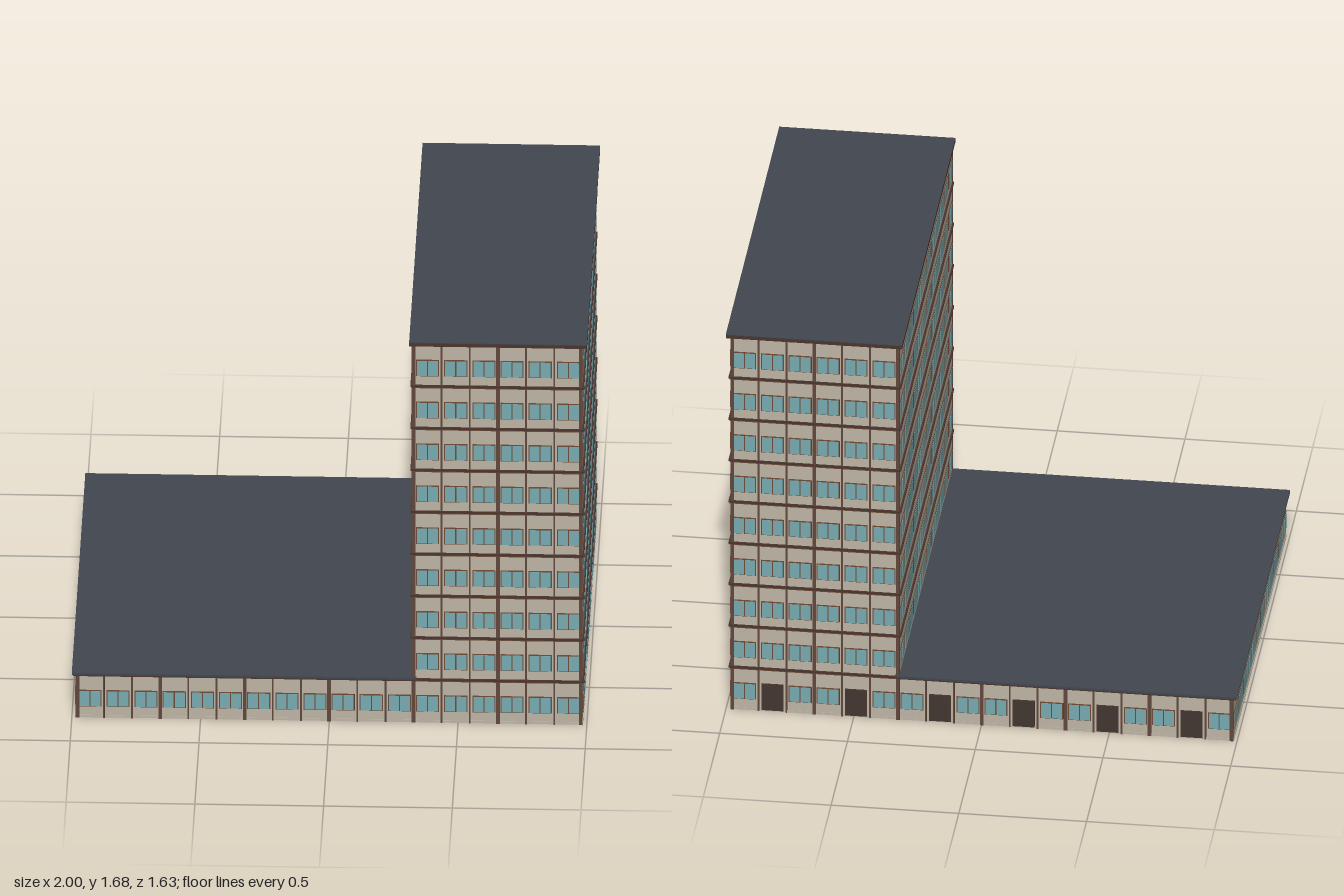
import * as THREE from 'three';
import { mergeGeometries } from 'three/addons/utils/BufferGeometryUtils.js';

const FLOOR = 0.185, FLOORS = 9, BASE = 0.005;
const X0 = -0.985, X1 = 0.983, XT = 0.322, Z = 0.803; // wall planes
const BAYS = 18, PITCH = (X1 - X0) / BAYS;
const LOW_BAYS = 12; // bays 0..11 belong to the low wing

const mat = (name, color) => {
  const m = new THREE.MeshStandardMaterial({ color });
  m.name = name;
  return m;
};

export function createModel() {
  const group = new THREE.Group();
  const wall = mat('beige wall', 0xbdb5a5);
  const glass = mat('blue glass', 0x76aab1);
  const frame = mat('brown frame', 0x6e4a35);
  const ledge = mat('dark brown ledge', 0x4a342d);
  const pillar = mat('brown pillar', 0x60463b);
  const roof = mat('slate roof', 0x414650);
  const door = mat('dark door', 0x423631);

  const add = (name, geometry, material) => {
    const mesh = new THREE.Mesh(geometry, material);
    mesh.name = name;
    group.add(mesh);
  };
  // box given by its limits
  const block = (x0, x1, y0, y1, z0, z1) =>
    new THREE.BoxGeometry(x1 - x0, y1 - y0, z1 - z0)
      .translate((x0 + x1) / 2, (y0 + y1) / 2, (z0 + z1) / 2);

  // collected small parts, merged into one mesh per kind
  const parts = { windowFrames: [], windowGlass: [], doors: [], doorFrames: [], pillars: [], ledges: [], ledgeTrims: [] };
  const faces = {
    front: { rot: 0, at: [0, 0, Z] },
    back: { rot: Math.PI, at: [0, 0, -Z] },
    right: { rot: Math.PI / 2, at: [X1, 0, 0] },
    left: { rot: -Math.PI / 2, at: [X0, 0, 0] },
    towerLeft: { rot: -Math.PI / 2, at: [XT, 0, 0] },
  };
  // plate on a facade: centre u, bottom y, width, height, thickness
  const plate = (kind, face, u, y, w, h, d) =>
    parts[kind].push(new THREE.BoxGeometry(w, h, d).translate(u, y + h / 2, d / 2)
      .rotateY(face.rot).translate(...face.at));

  const windowAt = (face, u, floor, w) => {
    const y = BASE + floor * FLOOR + 0.043, h = 0.072, rim = 0.004;
    plate('windowFrames', face, u, y, w, h, 0.003);
    const pane = (w - 3 * rim) / 2;
    for (const s of [-1, 1])
      plate('windowGlass', face, u + s * (pane + rim) / 2, y + rim / 2, pane, h - rim * 1.5, 0.004);
  };

  // wall bodies
  add('lowWingWalls', block(X0, XT, 0, 0.186, -Z, Z), wall);
  add('towerWalls', block(XT, X1, 0, 1.666, -Z, Z), wall);

  // long sides: twelve windows per floor
  for (let f = 0; f < FLOORS; f++) {
    for (let i = 0; i < 12; i++) {
      const u = (i - 5.5) * 0.1333;
      windowAt(faces.right, u, f, 0.116);
      windowAt(f ? faces.towerLeft : faces.left, u, f, 0.116);
    }
  }

  // front and back: bays with pillars, doors in the back ground floor
  for (const face of [faces.front, faces.back]) {
    const s = face === faces.front ? 1 : -1;
    for (let b = 0; b < BAYS; b++) {
      const u = s * (X0 + (b + 0.5) * PITCH);
      const top = b < LOW_BAYS ? 1 : FLOORS;
      for (let f = 0; f < top; f++) {
        if (s < 0 && f === 0 && b % 3 === 1) {
          plate('doorFrames', face, u, 0.004, 0.086, 0.118, 0.004);
          for (const k of [-1, 1]) plate('doors', face, u + k * 0.02, 0.006, 0.037, 0.111, 0.005);
        } else windowAt(face, u, f, 0.09);
      }
    }
    for (let b = 0; b <= BAYS; b++) {
      const w = b % 3 === 0 ? 0.014 : 0.007;
      const inset = b === 0 ? w / 2 : b === BAYS ? -w / 2 : 0;
      plate('pillars', face, s * (X0 + b * PITCH + inset), 0, w, b < LOW_BAYS ? 0.186 : 1.666, 0.006);
    }
  }

  // ledges wrapping the tower at each floor
  for (let f = 1; f < FLOORS; f++) {
    const y = BASE + f * FLOOR;
    parts.ledges.push(block(XT - 0.007, X1 + 0.007, y - 0.004, y + 0.004, -Z - 0.007, Z + 0.007));
    parts.ledgeTrims.push(block(XT - 0.003, X1 + 0.003, y - 0.01, y - 0.004, -Z - 0.003, Z + 0.003));
  }

  const materials = {
    windowFrames: frame, windowGlass: glass, doors: door, doorFrames: ledge,
    pillars: pillar, ledges: ledge, ledgeTrims: frame,
  };
  for (const kind in parts) add(kind, mergeGeometries(parts[kind]), materials[kind]);

  // base strip and flat roofs with dark edges
  add('baseStrip', block(X0 - 0.002, X1 + 0.002, 0, 0.01, -Z - 0.002, Z + 0.002), wall);
  add('lowRoofEdge', block(-0.996, 0.335, 0.184, 0.191, -0.811, 0.811), ledge);
  add('lowRoof', block(-1, 0.338, 0.191, 0.2, -0.815, 0.815), roof);
  add('towerRoofEdge', block(0.31, 1, 1.664, 1.678, -0.815, 0.815), ledge);
  add('towerRoof', block(0.31, 1, 1.678, 1.681, -0.815, 0.815), roof);
  return group;
}
